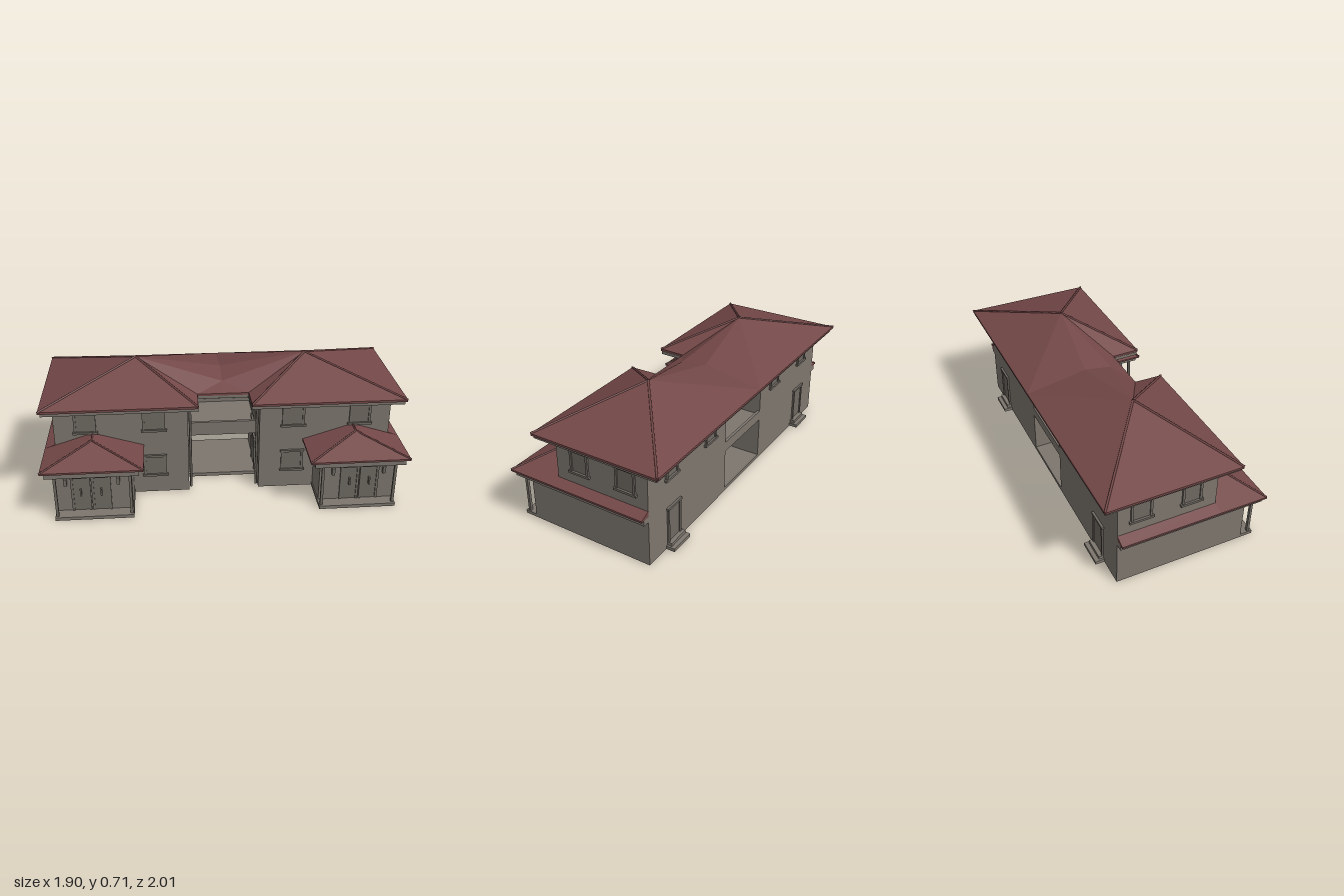
import * as THREE from 'three';

export function createModel() {
  const root = new THREE.Group();
  root.name = 'house';
  const house = new THREE.Group();
  house.name = 'building';
  house.rotation.y = 0.8645; // the plan stands diagonally on the site
  root.add(house);

  const mat = (name, color) => {
    const m = new THREE.MeshStandardMaterial({ color, side: THREE.DoubleSide });
    m.name = name;
    return m;
  };
  const wall = mat('stone grey wall', 0x7d766e);
  const roof = mat('red brown roof', 0x744848);
  const trim = mat('grey trim', 0x6f6962);

  const add = (name, geo, material) => {
    const m = new THREE.Mesh(geo, material);
    m.name = name;
    house.add(m);
    return m;
  };
  // Box given by its limits on each axis
  const box = (name, x0, x1, y0, y1, z0, z1, material = wall) => {
    const g = new THREE.BoxGeometry(Math.abs(x1 - x0), y1 - y0, Math.abs(z1 - z0));
    g.translate((x0 + x1) / 2, (y0 + y1) / 2, (z0 + z1) / 2);
    return add(name, g, material);
  };
  // Flat faces from triangles of points
  const faces = (name, tris, material) => {
    const g = new THREE.BufferGeometry();
    g.setAttribute('position', new THREE.Float32BufferAttribute(tris.flat(2), 3));
    g.computeVertexNormals();
    return add(name, g, material);
  };
  // Open-bottomed room of four walls
  const room = (name, x0, x1, y0, y1, z0, z1) => {
    const c = [[x0, z0], [x1, z0], [x1, z1], [x0, z1]];
    const tris = [];
    c.forEach(([ax, az], i) => {
      const [bx, bz] = c[(i + 1) % 4];
      const a = [ax, y0, az], b = [bx, y0, bz], d = [bx, y1, bz], e = [ax, y1, az];
      tris.push([a, d, b], [a, e, d]);
    });
    return faces(name, tris, wall);
  };
  // Plan outline raised to a slab
  const slab = (name, pts, y0, y1, material) => {
    const s = new THREE.Shape(pts.map(([x, z]) => new THREE.Vector2(x, -z)));
    const g = new THREE.ExtrudeGeometry(s, { depth: y1 - y0, bevelEnabled: false });
    g.rotateX(-Math.PI / 2).translate(0, y0, 0);
    return add(name, g, material);
  };
  const rod = (name, pts, r, material) => {
    const path = new THREE.CurvePath();
    for (let i = 1; i < pts.length; i++)
      path.add(new THREE.LineCurve3(new THREE.Vector3(...pts[i - 1]), new THREE.Vector3(...pts[i])));
    return add(name, new THREE.TubeGeometry(path, (pts.length - 1) * 6, r, 6), material);
  };
  // Window: four thin frame bars, a pane and a sill, on an x-facing or z-facing wall
  const opening = (name, axis, at, dir, a0, a1, y0, y1) => {
    const bar = (n, p0, p1, q0, q1, d) => axis === 'z'
      ? box(n, p0, p1, q0, q1, at, at + dir * d, trim)
      : box(n, at, at + dir * d, q0, q1, p0, p1, trim);
    const w = 0.012;
    bar(name + 'Pane', a0, a1, y0, y1, 0.003);
    bar(name + 'FrameSide', a0, a0 + w, y0, y1, 0.009);
    bar(name + 'FrameSide', a1 - w, a1, y0, y1, 0.009);
    bar(name + 'FrameTop', a0 - 0.005, a1 + 0.005, y1 - w, y1, 0.012);
    if (y0 > 0.05) bar(name + 'Sill', a0 - 0.008, a1 + 0.008, y0 - 0.008, y0 + 0.004, 0.014);
  };

  const back = -0.345, front = 0.175, end = 0.89, inner = 0.19, eaveY = 0.552;

  // Main roof: two hipped peaks joined by a dipped middle
  const A = [-0.95, eaveY, -0.436], B = [0.945, eaveY, -0.436], K = [0, eaveY, -0.436];
  const M = [0, 0.612, -0.11], F = [0, 0.588, 0.04];
  for (const k of [-1, 1]) {
    const P = [k * 0.455, 0.703, -0.057];
    const rear = k < 0 ? A : B;
    const outer = [k * 0.947, eaveY, 0.272], nose = [k * 0.138, eaveY, 0.27], notch = [k * 0.135, eaveY, 0.12];
    faces('mainRoof', [
      [P, rear, outer], [P, outer, nose], [P, nose, notch], [P, notch, F],
      [P, F, M], [P, M, K], [P, K, rear], [F, notch, [0, eaveY, 0.12]],
    ], roof);
    for (const c of [rear, outer, nose]) rod('hipCap', [P, c], 0.006, roof);
  }
  const outline = [[-0.95, -0.436], [0.945, -0.436], [0.947, 0.272], [0.138, 0.27],
    [0.135, 0.12], [-0.135, 0.12], [-0.138, 0.27], [-0.947, 0.272]];
  slab('roofEdge', outline, 0.54, eaveY, roof);
  slab('soffit', outline.map(([x, z]) => [x * 0.988, z * 0.975]), 0.523, 0.54, wall);

  for (const k of [-1, 1]) {
    // Two-storey wing and its front room
    room('wingWalls', k * inner, k * end, 0, 0.53, back, front);
    room('frontRoomWalls', k * 0.49, k * end, 0, 0.26, front, 0.352);

    // Porch floor, beam and posts
    box('porchFloor', k * 0.485, k * end, 0, 0.018, front, 0.42);
    box('porchBeam', k * 0.45, k * 0.925, 0.252, 0.284, front, 0.422);
    box('sideBeam', k * end, k * 0.925, 0.252, 0.284, back, front);
    for (const x of [0.497, 0.878])
      box('porchPost', k * x - 0.007, k * x + 0.007, 0.018, 0.252, 0.393, 0.407, trim);

    // Lower roof: hipped over the porch, running back as a skirt
    const e = 0.292, o = k * 0.945, i = k * 0.425;
    const R0 = [k * 0.69, 0.374, front], R1 = [k * 0.69, 0.374, 0.255];
    const oc = [o, e, 0.435], ic = [i, e, 0.435], ow = [o, e, front], iw = [i, e, front];
    const wf = [k * end, 0.312, front], wb = [k * end, 0.312, back], ob = [o, e, back];
    faces('lowerRoof', [
      [R1, oc, ic], [R0, R1, ic], [R0, ic, iw], [R1, R0, ow], [R1, ow, oc],
      [wf, wb, ob], [wf, ob, ow], [R0, wf, ow], [wb, [k * end, e, back], ob],
    ], roof);
    rod('lowerHipCap', [R0, R1, oc], 0.005, roof);
    rod('lowerHipCap', [R1, ic], 0.005, roof);
    box('lowerRoofEdge', i, o, 0.282, e, front, 0.435, roof);
    box('skirtEdge', k * end, o, 0.282, e, back, front, roof);

    // Porch glazed doors with handles
    for (const x of [0.6, 0.705]) {
      opening('porchDoor', 'z', 0.352, 1, Math.min(k * x, k * (x + 0.1)), Math.max(k * x, k * (x + 0.1)), 0.02, 0.225);
      box('doorHandle', k * (x + 0.05) - 0.004, k * (x + 0.05) + 0.004, 0.11, 0.15, 0.352, 0.372, trim);
    }
    for (const x of [0.56, 0.83]) {
      box('wallLamp', k * x - 0.008, k * x + 0.008, 0.175, 0.215, 0.352, 0.372, trim);
    }

    // Front and rear windows
    const span = (a, b) => (k > 0 ? [a, b] : [-b, -a]);
    opening('upperWindow', 'z', front, 1, ...span(0.31, 0.43), 0.38, 0.505);
    opening('upperWindow', 'z', front, 1, ...span(0.67, 0.785), 0.38, 0.505);
    opening('lowerWindow', 'z', front, 1, ...span(0.31, 0.43), 0.11, 0.23);
    opening('rearWindow', 'z', back, -1, ...span(0.3, 0.4), 0.4, 0.505);
    opening('rearWindow', 'z', back, -1, ...span(0.65, 0.75), 0.4, 0.505);
    opening('rearDoor', 'z', back, -1, ...span(0.63, 0.74), 0.035, 0.235);

    // End windows
    opening('endWindow', 'x', k * end, k, -0.28, -0.17, 0.38, 0.505);
    opening('endWindow', 'x', k * end, k, -0.015, 0.09, 0.38, 0.505);

    // Doors facing the central passage
    opening('passageDoor', 'x', k * inner, -k, -0.13, 0.02, 0.02, 0.225);
    opening('balconyDoor', 'x', k * inner, -k, -0.12, 0.0, 0.3, 0.455);

    // Rear steps
    box('rearStep', k * 0.61, k * 0.75, 0, 0.018, -0.392, back);
    box('rearStep', k * 0.62, k * 0.74, 0.018, 0.036, -0.37, back);

    // Downpipe with a swan neck
    rod('downpipe', [[k * 0.178, 0.53, 0.09], [k * 0.178, 0.495, 0.1],
      [k * 0.178, 0.465, 0.155], [k * 0.178, 0.01, 0.155]], 0.007, trim);
  }

  // Central passage floor and balcony
  box('passageFloor', -inner, inner, 0, 0.02, back, 0.04);
  box('balconyFloor', -inner, inner, 0.265, 0.285, back, 0.04);
  box('balconyParapet', -inner, inner, 0.265, 0.343, 0.025, 0.042);
  box('rearBalconyKerb', -inner, inner, 0.25, 0.305, back, back + 0.015);

  return root;
}
